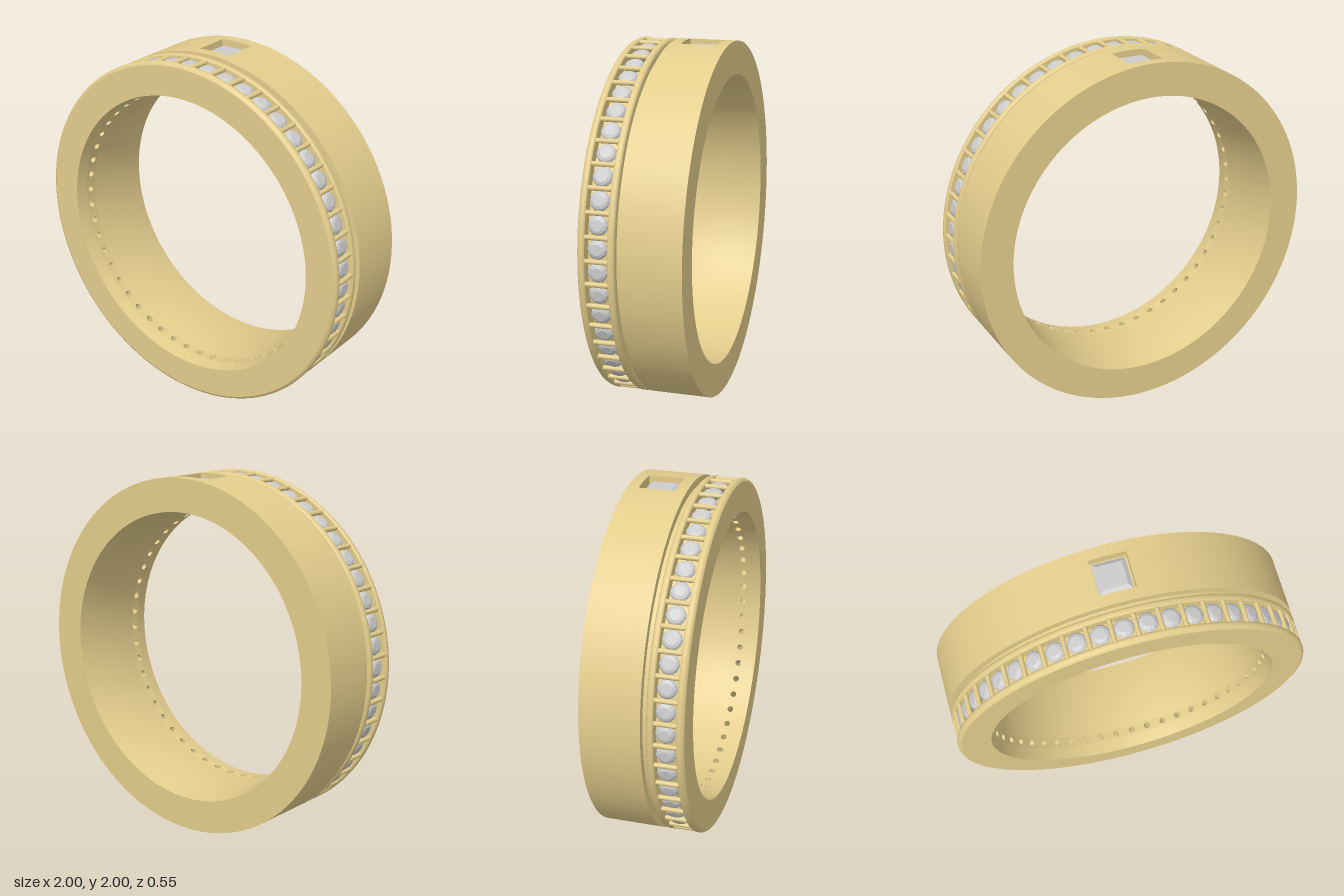
import * as THREE from 'three';
import { mergeGeometries } from 'three/addons/utils/BufferGeometryUtils.js';

const COUNT = 50, STEP = (2 * Math.PI) / COUNT, OFFSET = STEP / 4;
const STONE_Z = 0.173, HOLE_R = 0.018;
const POCKET_Z = -0.112, POCKET_TURN = 0.012, OUTER_HALF = 0.1, INNER_HALF = 0.07;
const HALF_W = 0.275;

const gold = new THREE.MeshStandardMaterial({ color: 0xe3cd8c, side: THREE.DoubleSide });
const gem = new THREE.MeshStandardMaterial({ color: 0xcccccc, flatShading: true });

// comfort-fit bore: slightly narrower in the middle
const bore = z => 0.79 + 0.025 * (z / HALF_W) ** 2;

// revolve a smooth run of [radius, z] about the z axis, optionally leaving a gap at the top
function revolve(points, gap = 0) {
  const profile = points.map(([r, z]) => new THREE.Vector2(r, z));
  const start = Math.PI + POCKET_TURN + gap;
  return new THREE.LatheGeometry(profile, 160, start, 2 * Math.PI - 2 * gap).rotateX(Math.PI / 2);
}

// part of the bore between two z positions, facing the axis
function boreStrip(z0, z1, gap = 0) {
  const points = [];
  for (let i = 0; i <= 5; i++) {
    const z = z0 + ((z1 - z0) * i) / 5;
    points.push([bore(z), z]);
  }
  return revolve(points, gap);
}

// copies of a geometry made at the top, spread around the ring
function around(geometry, offset) {
  const copies = [];
  for (let i = 0; i < COUNT; i++) copies.push(geometry.clone().rotateZ(offset + i * STEP));
  return mergeGeometries(copies);
}

// one cell of the bore with a round drill hole, bent to the curve
function drilledCell(z0, z1) {
  const a = STEP / 2, R = 0.8, shape = new THREE.Shape();
  shape.moveTo(-a * R, z0);
  for (const t of [-0.5, 0, 0.5, 1]) shape.lineTo(t * a * R, z0);
  for (const t of [1, 0.5, 0, -0.5, -1]) shape.lineTo(t * a * R, z1);
  shape.holes.push(new THREE.Path().absarc(0, STONE_Z, HOLE_R, 0, Math.PI * 2, true));
  const g = new THREE.ShapeGeometry(shape, 8);
  const p = g.attributes.position, n = g.attributes.normal;
  for (let i = 0; i < p.count; i++) {
    const t = p.getX(i) / R, z = p.getY(i), s = Math.sin(t), c = Math.cos(t);
    p.setXYZ(i, bore(z) * s, bore(z) * c, z);
    n.setXYZ(i, -s, -c, 0);
  }
  return g;
}

// wall between two square loops; each level is [half size, height rule]
function pocketWall([h0, y0], [h1, y1]) {
  const N = 8, pos = [], corners = [[-1, -1], [1, -1], [1, 1], [-1, 1]];
  const at = (h, y, u, v) => [h * u, y(h * u, POCKET_Z + h * v), POCKET_Z + h * v];
  corners.forEach(([u0, v0], k) => {
    const [u1, v1] = corners[(k + 1) % 4];
    for (let i = 0; i < N; i++) {
      const [s, t] = [i / N, (i + 1) / N];
      const ua = u0 + (u1 - u0) * s, va = v0 + (v1 - v0) * s;
      const ub = u0 + (u1 - u0) * t, vb = v0 + (v1 - v0) * t;
      const A = at(h0, y0, ua, va), B = at(h0, y0, ub, vb);
      const C = at(h1, y1, ub, vb), D = at(h1, y1, ua, va);
      pos.push(...A, ...B, ...C, ...A, ...C, ...D);
    }
  });
  const g = new THREE.BufferGeometry();
  g.setAttribute('position', new THREE.Float32BufferAttribute(pos, 3));
  g.computeVertexNormals();
  return g;
}

// faceted stone turned about y: [radius, height] from culet to table
function cutStone(profile, sides) {
  return new THREE.LatheGeometry(profile.map(([r, y]) => new THREE.Vector2(r, y)), sides);
}

export function createModel() {
  const ring = new THREE.Group();
  ring.name = 'ring';
  const add = (name, geometry, material) => {
    const mesh = new THREE.Mesh(geometry, material);
    mesh.name = name;
    ring.add(mesh);
  };

  // wide plain band, with an opening left for the square setting
  const z0 = POCKET_Z - OUTER_HALF, z1 = POCKET_Z + OUTER_HALF;
  add('plainBand', mergeGeometries([
    revolve([[bore(HALF_W), -HALF_W], [1, -HALF_W]]),
    revolve([[1, -HALF_W], [1, z0]]),
    revolve([[1, z0], [1, z1]], Math.asin(OUTER_HALF)),
    revolve([[1, z1], [1, 0.05]]),
  ]), gold);

  // groove between the bands
  add('groove', mergeGeometries([
    revolve([[1, 0.05], [0.957, 0.05]]),
    revolve([[0.957, 0.05], [0.957, 0.077]]),
  ]), gold);

  // stone channel with rounded rails
  add('channelBand', mergeGeometries([
    revolve([[0.957, 0.077], [0.984, 0.077], [0.994, 0.081], [1, 0.091], [1, 0.105], [0.997, 0.112], [0.99, 0.115]]),
    revolve([[0.99, 0.115], [0.935, 0.115]]),
    revolve([[0.935, 0.115], [0.935, 0.235]]),
    revolve([[0.935, 0.235], [0.99, 0.235]]),
    revolve([[0.99, 0.235], [0.997, 0.238], [1, 0.246], [1, 0.257], [0.994, 0.269], [0.982, HALF_W]]),
    revolve([[0.982, HALF_W], [bore(HALF_W), HALF_W]]),
  ]), gold);

  // inside of the ring
  const c0 = STONE_Z - 0.03, c1 = STONE_Z + 0.03;
  const i0 = POCKET_Z - INNER_HALF, i1 = POCKET_Z + INNER_HALF;
  add('bore', mergeGeometries([
    boreStrip(HALF_W, c1),
    boreStrip(c0, i1),
    boreStrip(i1, i0, Math.asin(INNER_HALF / 0.793)),
    boreStrip(i0, -HALF_W),
  ]), gold);
  add('drilledStrip', around(drilledCell(c0, c1), OFFSET), gold);
  const hole = new THREE.CylinderGeometry(HOLE_R, HOLE_R, 0.14, 16, 1, true).translate(0, 0.867, STONE_Z);
  add('drillHoles', around(hole, OFFSET), gold);

  // small round stones and the bars between them
  const roundStone = cutStone([[0, -0.05], [0.053, 0], [0.053, 0.006], [0.045, 0.017], [0.03, 0.024], [0, 0.024]], 12);
  add('roundStones', around(roundStone.translate(0, 0.964, STONE_Z), OFFSET), gem);
  const bar = new THREE.CapsuleGeometry(0.0135, 0.11, 4, 10).rotateX(Math.PI / 2).translate(0, 0.985, 0.175);
  add('bars', around(bar, OFFSET + STEP / 2), gold);

  // square setting cut through the band
  const levels = [
    [OUTER_HALF, x => Math.sqrt(1 - x * x)],
    [OUTER_HALF, () => 0.945],
    [0.082, () => 0.945],
    [INNER_HALF, (x, z) => Math.sqrt(bore(z) ** 2 - x * x)],
  ];
  const walls = levels.slice(1).map((level, i) => pocketWall(levels[i], level));
  add('squareSetting', mergeGeometries(walls).rotateZ(POCKET_TURN), gold);

  // square stone
  const d = Math.SQRT2;
  const squareStone = cutStone([[0, -0.07], [0.088 * d, 0], [0.088 * d, 0.008], [0.066 * d, 0.025], [0, 0.025]], 4);
  squareStone.rotateY(Math.PI / 4).translate(0, 0.95, POCKET_Z).rotateZ(POCKET_TURN);
  add('squareStone', squareStone, gem);

  ring.position.y = 1;
  const model = new THREE.Group();
  model.name = 'weddingBand';
  model.add(ring);
  return model;
}
